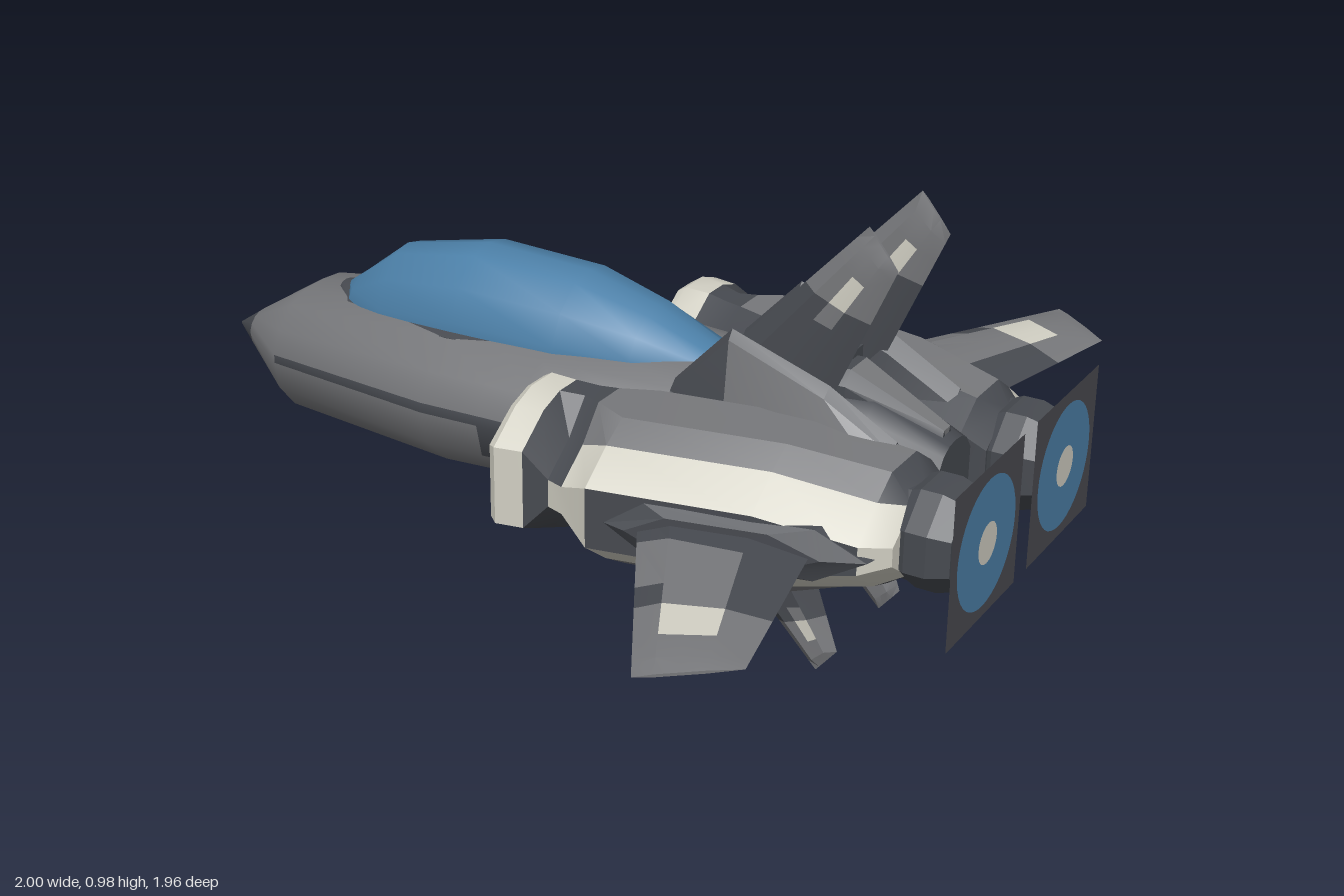
import * as THREE from 'three';
import { toCreasedNormals } from 'three/addons/utils/BufferGeometryUtils.js';

const mat = (name, color, side = THREE.FrontSide) => {
  const m = new THREE.MeshStandardMaterial({ color, side });
  m.name = name;
  return m;
};

export function createModel() {
  const root = new THREE.Group();
  root.name = 'spaceFighter';
  const grey = mat('hullGrey', 0x77787b);
  const dark = mat('darkGrey', 0x474a50);
  const cream = mat('creamTrim', 0xd2d0c4);
  const blue = mat('glassBlue', 0x4c80a8);
  const plateDark = mat('plateGrey', 0x4b4a50, THREE.DoubleSide);
  const plateBlue = mat('plateBlue', 0x4c80a8, THREE.DoubleSide);
  const plateCream = mat('plateCream', 0xd2d0c4, THREE.DoubleSide);

  // Skin closed rings of [x, y, z] points; colour(band, row) picks each facet's material
  function loft(name, rings, colour, crease = 0.6) {
    const buckets = new Map();
    let volume = 0;
    const tri = (m, a, b, c) => {
      if (!buckets.has(m)) buckets.set(m, []);
      buckets.get(m).push([a, b, c]);
      volume += a[0] * (b[1] * c[2] - b[2] * c[1]) + a[1] * (b[2] * c[0] - b[0] * c[2])
        + a[2] * (b[0] * c[1] - b[1] * c[0]);
    };
    const n = rings[0].length;
    const last = rings.length - 1;
    for (let i = 0; i < last; i++) {
      for (let j = 0; j < n; j++) {
        const k = (j + 1) % n;
        const m = colour(i, j);
        tri(m, rings[i][j], rings[i][k], rings[i + 1][k]);
        tri(m, rings[i][j], rings[i + 1][k], rings[i + 1][j]);
      }
    }
    for (const e of [0, last]) {
      const mid = [0, 1, 2].map(a => rings[e].reduce((s, p) => s + p[a], 0) / n);
      for (let j = 0; j < n; j++) {
        const p = rings[e][j], q = rings[e][(j + 1) % n];
        const m = colour(e ? last - 1 : 0, j);
        e ? tri(m, p, q, mid) : tri(m, q, p, mid);
      }
    }
    const pos = [], mats = [];
    const geo = new THREE.BufferGeometry();
    for (const [m, tris] of buckets) {
      geo.addGroup(pos.length / 3, tris.length * 3, mats.length);
      mats.push(m);
      for (const [a, b, c] of tris) pos.push(...a, ...(volume < 0 ? [...c, ...b] : [...b, ...c]));
    }
    geo.setAttribute('position', new THREE.Float32BufferAttribute(pos, 3));
    const mesh = new THREE.Mesh(toCreasedNormals(geo, crease), mats);
    mesh.name = name;
    root.add(mesh);
  }
  const mirrored = half => [...half, ...half.slice(1, -1).reverse().map(([z, f]) => [-z, f])];

  // Fuselage: [x, half width, bottom, top], with a dark side stripe that widens aft
  const hullShape = mirrored([[0, 1], [0.34, 0.98], [0.62, 0.91], [0.88, 0.75], [1, 0.56], [1, 0.49],
    [0.93, 0.25], [0.66, 0.04], [0, 0]]);
  const hull = [[-1, 0.003, 0.373, 0.379], [-0.93, 0.055, 0.34, 0.427], [-0.75, 0.187, 0.26, 0.54],
    [-0.28, 0.272, 0.26, 0.59], [-0.13, 0.279, 0.272, 0.595], [-0.03, 0.283, 0.28, 0.597], [0.06, 0.285, 0.285, 0.597],
    [0.3, 0.25, 0.245, 0.6], [0.45, 0.2, 0.23, 0.61], [0.68, 0.14, 0.25, 0.6], [0.84, 0.09, 0.34, 0.53]];
  loft('fuselage', hull.map(([x, w, b, t]) => hullShape.map(([z, f]) => [x, b + (t - b) * f, z * w])), (i, j) => {
    const row = Math.min(j, 15 - j);
    if (i === 0) return dark;
    if (row === 4 && i > 1) return dark;
    if ((row === 5 && i > 3) || (row === 6 && i === 5)) return dark;
    if (i > 6) return row > 5 ? (i === 9 ? cream : grey) : dark;
    return grey;
  }, 0.9);

  // Canopy and its dark sill: [x, half width, base, top]
  const glassShape = mirrored([[0, 1], [0.4, 0.93], [0.78, 0.62], [1, 0.22], [1, 0], [0, -0.1]]);
  const glass = [[-0.665, 0.02, 0.52, 0.555], [-0.61, 0.09, 0.52, 0.595], [-0.5, 0.118, 0.525, 0.68],
    [-0.28, 0.155, 0.55, 0.725], [-0.02, 0.153, 0.555, 0.715], [0.15, 0.12, 0.56, 0.67], [0.3, 0.08, 0.56, 0.605]];
  loft('canopy', glass.map(([x, w, b, t]) => glassShape.map(([z, f]) => [x, b + (t - b) * f, z * w])), () => blue, 0.8);
  loft('canopySill', glass.map(([x, w, b, t], i) => glassShape.map(([z, f]) =>
    [x - (i ? 0 : 0.015), b + Math.min(0.045, t - b) * f, z * (w + 0.016)])), () => dark);

  // Spine hump with a square hatch on top
  loft('spineHump', [[0.27, 0.07, 0.6], [0.4, 0.065, 0.64], [0.62, 0.06, 0.645], [0.82, 0.025, 0.55]].map(([x, w, t]) =>
    [[x, 0.5, w], [x, t - 0.03, w], [x, t, w * 0.6], [x, t, -w * 0.6], [x, t - 0.03, -w], [x, 0.5, -w]]),
  (i, j) => (j === 2 && i !== 1 ? grey : dark), 0.4);
  const box = (name, m, w, h, d, x, y, z) => {
    const mesh = new THREE.Mesh(new THREE.BoxGeometry(w, h, d), m);
    mesh.name = name;
    mesh.position.set(x, y, z);
    root.add(mesh);
  };
  box('hatchFrame', dark, 0.14, 0.06, 0.12, 0.53, 0.63, 0);
  box('hatchLid', grey, 0.1, 0.008, 0.085, 0.53, 0.662, 0);

  // Tapered fin from a root edge to a tip edge, each [leading x, h, trailing x, h]
  function fin(name, from, to, thick, place, colour) {
    const rings = [0, 0.22, 0.5, 0.62, 0.8, 0.93, 1].map(t => {
      const e = from.map((v, i) => v + (to[i] - v) * t);
      const w = t === 1 ? 0.003 : thick + (0.011 - thick) * t;
      return [[0, 0], [0.2, 1], [0.42, 1], [0.66, 1], [1, 0], [0.66, -1], [0.42, -1], [0.2, -1]].map(([c, k]) =>
        place(e[0] + (e[2] - e[0]) * c, e[1] + (e[3] - e[1]) * c, k * w));
    });
    loft(name, rings, colour, 0.35);
  }
  const wingCamo = (i, j) => {
    const middle = [1, 2, 5, 6].includes(j);
    if (i === 3 && middle) return cream;
    if (i === 0 || (i < 3 && (j === 3 || j === 4))) return dark;
    return i === 2 && !middle ? dark : grey;
  };
  const finCamo = (i, j) => {
    const spot = j === 2 || j === 5;
    if (i === 3 && spot) return cream;
    return i < 2 || (i === 2 && !spot) ? dark : grey;
  };

  for (const s of [1, -1]) {
    const side = s > 0 ? 'left' : 'right';

    // Engine nacelle: [x, inner z, outer z, bottom, top, belt half height]
    const pods = [[0.04, 0.2, 0.475, 0.295, 0.585, 0.08], [0.06, 0.2, 0.49, 0.285, 0.597, 0.085],
      [0.12, 0.2, 0.478, 0.29, 0.595, 0.085], [0.17, 0.19, 0.462, 0.29, 0.59, 0.03],
      [0.21, 0.18, 0.475, 0.28, 0.59, 0.03], [0.29, 0.15, 0.515, 0.262, 0.592, 0.065],
      [0.62, 0.09, 0.447, 0.26, 0.59, 0.065], [0.82, 0.07, 0.395, 0.315, 0.56, 0.03],
      [0.87, 0.09, 0.345, 0.335, 0.525, 0.02]];
    const m = 0.43;
    loft(side + 'Nacelle', pods.map(([x, zi, zo, b, t, h]) =>
      [[zi, t - 0.05], [zi + 0.075, t], [zo - 0.14, t], [zo - 0.08, Math.min(m + h + 0.06, t - 0.02)], [zo, m + h],
        [zo, m - h], [zo - 0.08, Math.max(m - h - 0.06, b + 0.02)], [zo - 0.15, b], [zi + 0.06, b], [zi, b + 0.05]]
        .map(([z, y]) => [x, y, z * s])), (i, j) => {
      if (i < 2) return cream;
      if (i < 4) return j === 4 && i === 3 ? cream : dark;
      if (j === 3 || j === 5) return cream;
      if (j === 4) return i === 4 || i === 7 ? cream : dark;
      if (j === 7) return i < 7 ? cream : grey;
      if (j === 0 || j === 9 || j === 8) return dark;
      return i === 7 ? dark : grey;
    }, 0.5);

    // Engine nozzle, an eight-sided bell
    const bell = [[0.78, 0.1], [0.86, 0.106], [0.88, 0.115], [0.925, 0.115], [0.97, 0.1], [0.97, 0.075], [0.9, 0.05]];
    loft(side + 'Nozzle', bell.map(([x, r]) => Array.from({ length: 8 }, (_, k) => {
      const a = (k + 0.5) * Math.PI / 4;
      return [x, 0.432 + Math.sin(a) * r, (0.205 + Math.cos(a) * r * 1.06) * s];
    })), () => dark, 0.3);

    // Square exhaust plate with glowing disc and bright centre
    const flat = (name, geo, material, x) => {
      const mesh = new THREE.Mesh(geo, material);
      mesh.name = side + name;
      mesh.rotation.y = Math.PI / 2;
      mesh.position.set(x, 0.431, 0.196 * s);
      root.add(mesh);
    };
    flat('ExhaustPlate', new THREE.PlaneGeometry(0.328, 0.328), plateDark, 0.996);
    for (const [dx, tag] of [[0.002, ''], [-0.002, 'Inner']]) {
      flat('ExhaustGlow' + tag, new THREE.CircleGeometry(0.138, 40), plateBlue, 0.996 + dx);
      flat('ExhaustCore' + tag, new THREE.CircleGeometry(0.044, 20), plateCream, 0.996 + dx * 2);
    }

    // Swept side wing and the block it grows from, which follows the nacelle's taper
    loft(side + 'WingRoot', [[0.44, 0.31, 0.86, 0.062], [0.515, 0.33, 0.84, 0.055], [0.535, 0.38, 0.76, 0.04]].map(([z, a, b, h]) =>
      [[a, 0], [a + 0.08, h], [b - 0.1, h], [b, 0], [b - 0.1, -h], [a + 0.08, -h]]
        .map(([x, y]) => [x, m + y, (z - (x - 0.31) * 0.23) * s])),
    () => dark, 0.3);
    fin(side + 'Wing', [0.36, 0.43, 0.73, 0.4], [0.675, 0.978, 0.83, 0.85], 0.026,
      (x, h, w) => [x, 0.432 + w, h * s], wingCamo);

    // Upright tail fin with its fairing
    fin(side + 'TailFin', [0.34, 0.62, 0.61, 0.59], [0.685, 0.99, 0.75, 0.91], 0.028,
      (x, h, w) => [x, h, (0.12 + w) * s], finCamo);
    loft(side + 'TailFairing', [[0.28, 0.59, 0.03], [0.41, 0.728, 0.022], [0.63, 0.655, 0.035], [0.78, 0.57, 0.03]].map(([x, t, w]) =>
      [[0.135 - w * 1.6, 0.5], [0.15 - w, t - 0.03], [0.15, t], [0.15 + w * 0.7, t - 0.02], [0.15 + w * 1.8, 0.5]]
        .map(([z, y]) => [x, y, z * s])), (i, j) => (j === 3 && i > 0 ? grey : dark), 0.3);

    // Ventral fin with its keel fairing
    fin(side + 'VentralFin', [0.39, 0.25, 0.6, 0.27], [0.625, 0.008, 0.672, 0.065], 0.026,
      (x, h, w) => [x, h, (0.15 + w) * s], finCamo);
    loft(side + 'VentralFairing', [[0.24, 0.27, 0.01], [0.44, 0.15, 0.038], [0.5, 0.172, 0.038], [0.64, 0.25, 0.02]].map(([x, b, w]) =>
      [[0.17 - w * 1.6, 0.33], [0.17 - w, b + 0.02], [0.17 - w * 0.6, b], [0.17 + w * 0.6, b], [0.17 + w, b + 0.02], [0.17 + w * 1.6, 0.33]]
        .map(([z, y]) => [x, y, z * s])), (i, j) => (j === 2 || j === 4 ? grey : dark), 0.3);
  }
  return root;
}
